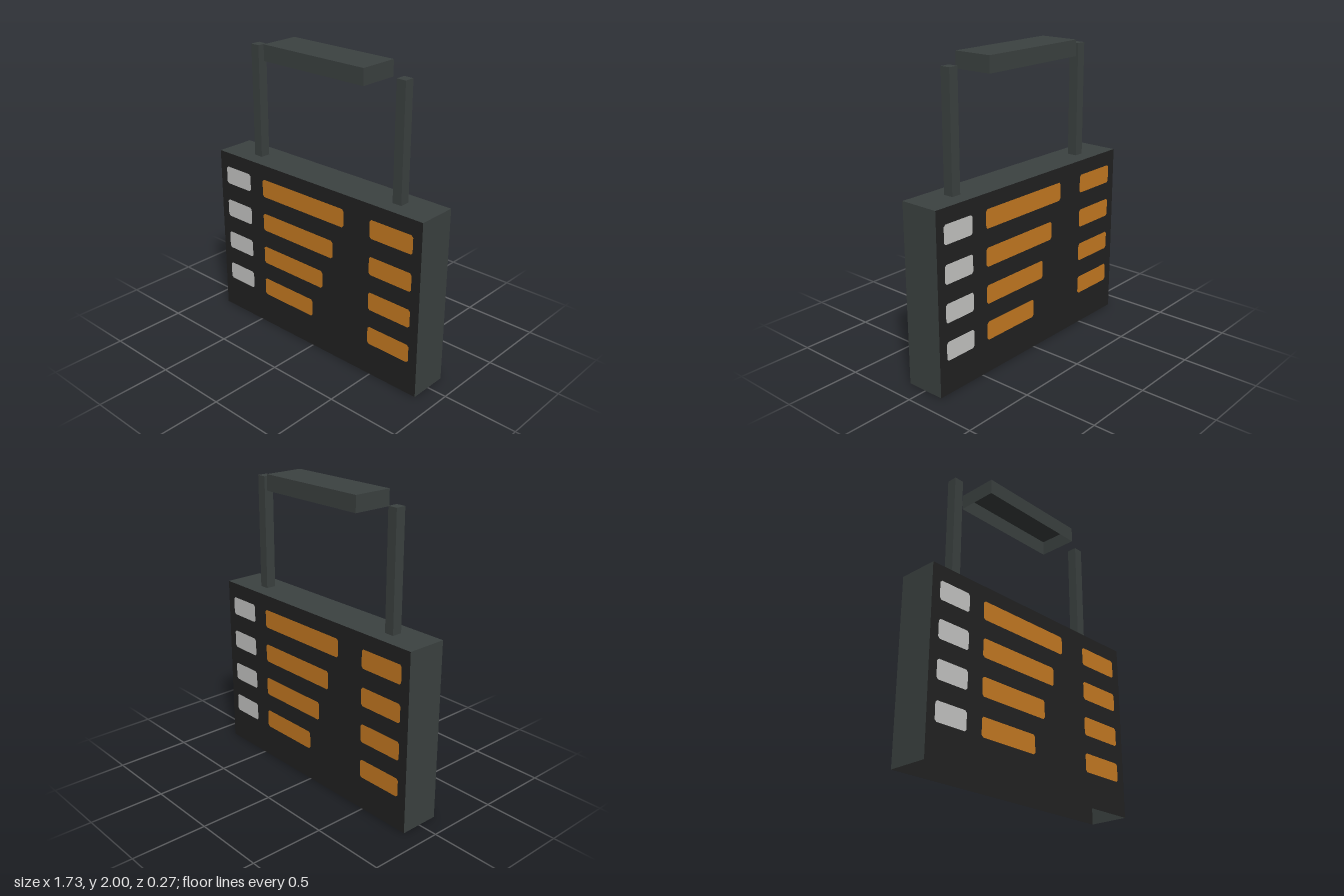
import * as THREE from 'three';

const material = (name, color) =>
  new THREE.MeshStandardMaterial({ name, color, side: THREE.DoubleSide });

// Box limited to chosen sides: 0 +x, 1 -x, 2 +y, 3 -y, 4 +z, 5 -z
function partialBox(w, h, d, sides) {
  const geometry = new THREE.BoxGeometry(w, h, d);
  const index = Array.from(geometry.index.array);
  geometry.setIndex(sides.flatMap((s) => index.slice(s * 6, s * 6 + 6)));
  geometry.clearGroups();
  return geometry;
}

// Flat segment with small clipped corners
function segment(x0, x1, y0, y1, c = 0.013) {
  return new THREE.ShapeGeometry(new THREE.Shape([
    [x0 + c, y0], [x1 - c, y0], [x1, y0 + c], [x1, y1 - c],
    [x1 - c, y1], [x0 + c, y1], [x0, y1 - c], [x0, y0 + c],
  ].map(([x, y]) => new THREE.Vector2(x, y))));
}

export function createModel() {
  const model = new THREE.Group();
  model.name = 'hangingDepartureBoard';
  const casing = material('casing grey', 0x3c4241);
  const screen = material('screen black', 0x222222);
  const amber = material('display amber', 0xc87b22);
  const white = material('label white', 0xc8c8c6);

  const W = 1.73, H = 1.19, D = 0.27;
  const add = (parent, name, geometry, mat, x = 0, y = 0, z = 0) => {
    const mesh = new THREE.Mesh(geometry, mat);
    mesh.name = name;
    mesh.position.set(x, y, z);
    parent.add(mesh);
  };

  // Cabinet, open underneath
  add(model, 'cabinetCasing', partialBox(W, H, D, [0, 1, 2]), casing, 0, H / 2);

  // Identical displays on the front and back
  for (const [side, turn] of [['front', 0], ['back', Math.PI]]) {
    const display = new THREE.Group();
    display.name = side + 'Display';
    display.rotation.y = turn;
    add(display, 'screen', new THREE.PlaneGeometry(W, H), screen, 0, H / 2, D / 2);
    [0.265, 0.175, 0.087, -0.003].forEach((end, row) => {
      const top = 1.09 - row * 0.247, bottom = top - 0.125, z = D / 2 + 0.002;
      add(display, 'lineLabel', segment(-0.806, -0.57, bottom, top), white, 0, 0, z);
      add(display, 'destinationBar', segment(-0.452, end, bottom, top), amber, 0, 0, z);
      add(display, 'timeBar', segment(0.475, 0.802, bottom, top), amber, 0, 0, z);
    });
    model.add(display);
  }

  // Hanger posts
  for (const s of [1, -1]) {
    add(model, s > 0 ? 'leftPost' : 'rightPost',
      new THREE.BoxGeometry(0.066, 0.76, 0.068), casing, s * 0.595, 1.57);
  }

  // Ceiling mount, open underneath
  add(model, 'ceilingMount', partialBox(0.81, 0.105, D, [0, 1, 2, 4, 5]), casing, 0, 1.9475);
  return model;
}
